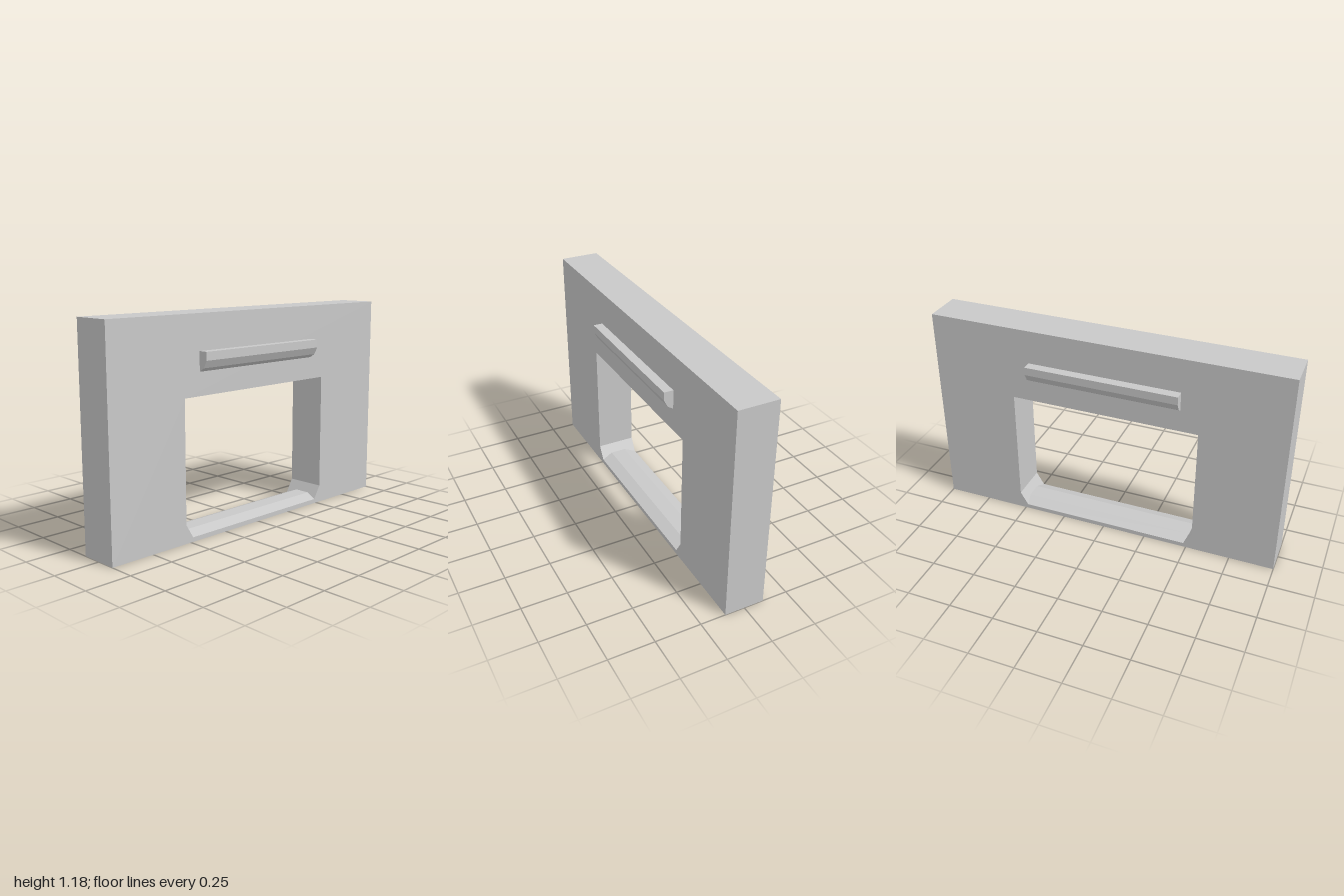
import * as THREE from 'three';

const DEPTH = 0.22;

function polygon(points) {
  return points.map(([a, b]) => new THREE.Vector2(a, b));
}

// Extrude a (z, y) profile along x, centred on x = 0
function extrudeAlongX(points, length) {
  const geo = new THREE.ExtrudeGeometry(new THREE.Shape(polygon(points)), { depth: length, bevelEnabled: false });
  geo.translate(0, 0, -length / 2);
  geo.rotateY(-Math.PI / 2);
  return geo;
}

export function createModel() {
  const group = new THREE.Group();
  group.name = 'wallWithOpening';
  const grey = new THREE.MeshStandardMaterial({ color: 0xc8c8c8 });
  grey.name = 'lightGrey';

  const add = (name, geo) => {
    const mesh = new THREE.Mesh(geo, grey);
    mesh.name = name;
    group.add(mesh);
    return mesh;
  };

  // Wall slab with a chamfered opening
  const outline = new THREE.Shape(polygon([[-1, 0], [1, 0], [1, 1.18], [-1, 1.18]]));
  outline.holes.push(new THREE.Path(polygon([
    [-0.485, 0.025], [-0.53, 0.1], [-0.53, 0.76],
    [0.53, 0.76], [0.53, 0.1], [0.485, 0.025],
  ])));
  const wall = new THREE.ExtrudeGeometry(outline, { depth: DEPTH, bevelEnabled: false });
  wall.translate(0, 0, -DEPTH / 2);
  add('wall', wall);

  // Raised sill, sloping down to both faces
  add('sill', extrudeAlongX([
    [-0.11, 0.015], [0.11, 0.015], [0.11, 0.025], [0.045, 0.05], [-0.045, 0.05], [-0.11, 0.025],
  ], 1.0));

  // Faceted ledge above the opening on each face
  const ledge = extrudeAlongX([
    [0.1, 0.885], [0.11, 0.885], [0.14, 0.905], [0.162, 0.945], [0.162, 0.99], [0.1, 0.99],
  ], 0.855);
  add('frontLedge', ledge);
  add('backLedge', ledge).rotation.y = Math.PI;

  return group;
}
